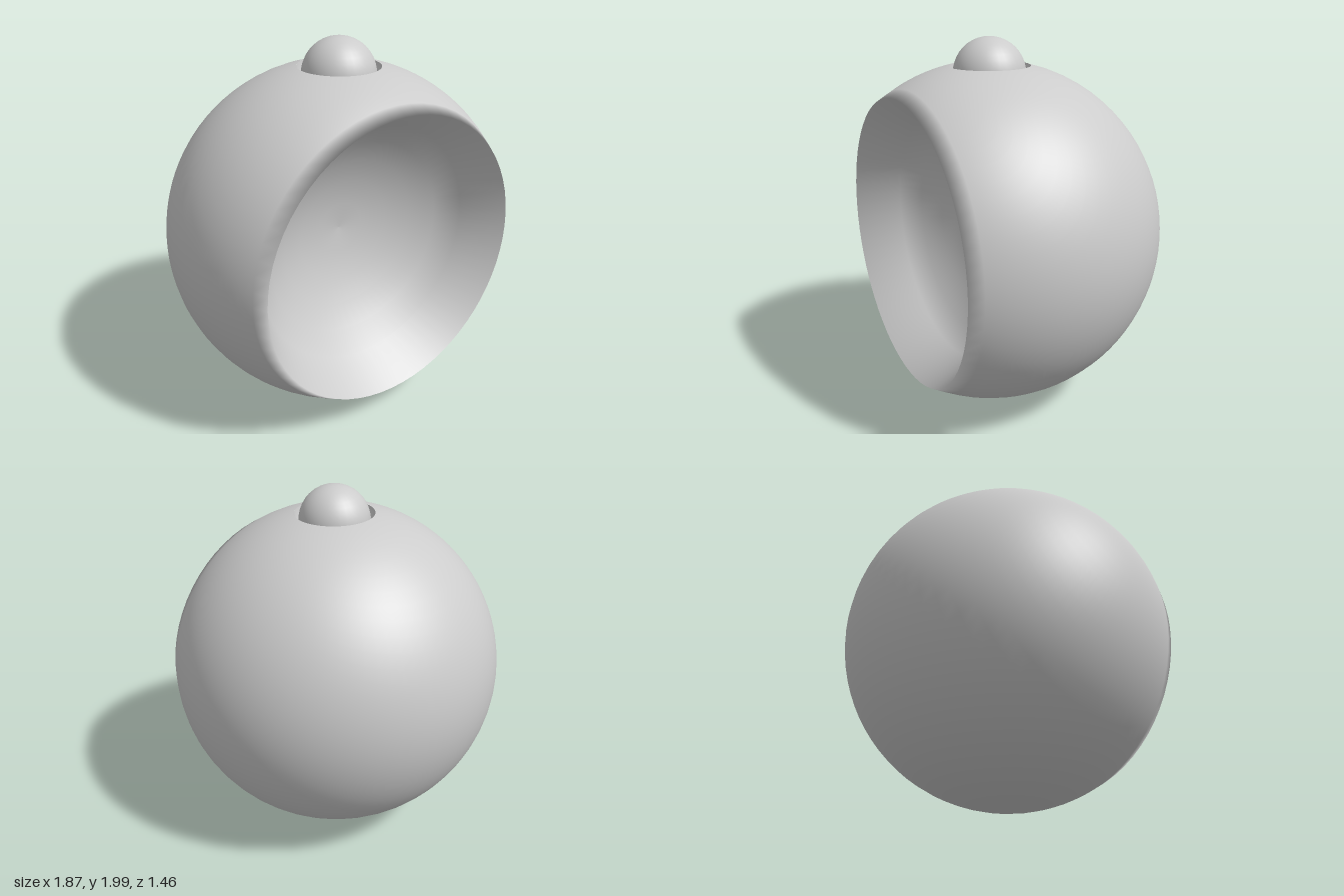
import * as THREE from 'three';
import { ParametricGeometry } from 'three/addons/geometries/ParametricGeometry.js';

const R = 0.935;                      // sphere radius
const HOLE_Y = 0.909;                 // plane of the round top hole
const CUT_Z = 0.46;                   // plane where the shell meets the front rim
const RIM_R = 0.775, RIM_Z = 0.53;    // foremost edge of the rim
const BACK_R = 0.66, BACK_Z = 0.29;   // ring where the bowl wall turns into its round back

export function createModel() {
  const model = new THREE.Group();
  const body = new THREE.Group();
  body.name = 'body';
  body.position.set(0, 0.94, 0.2);
  model.add(body);

  const material = new THREE.MeshStandardMaterial({ color: 0xcccccc });
  const add = (name, geometry) => {
    const mesh = new THREE.Mesh(geometry, material);
    mesh.name = name;
    body.add(mesh);
    return mesh;
  };

  // Sphere with two openings: its circles lie in planes that swing about the
  // line where the hole plane and the front plane meet.
  const sweep = (u, v, target) => {
    const t = u * Math.PI / 2, a = v * Math.PI * 2;
    const c = Math.cos(t), s = Math.sin(t);
    const d = c * HOLE_Y - s * CUT_Z;
    const r = Math.sqrt(R * R - d * d);
    const k = r * Math.sin(a);
    target.set(r * Math.cos(a), c * d - s * k, -s * d - c * k);
  };
  add('shell', new ParametricGeometry(sweep, 40, 64));

  // Soft front rim, steep bowl wall and round back of the bowl
  const profile = [
    new THREE.Vector2(Math.sqrt(R * R - CUT_Z * CUT_Z), CUT_Z),
    new THREE.Vector2(RIM_R, RIM_Z),
  ];
  const backAngle = Math.asin(BACK_R / R);
  for (let i = 0; i <= 5; i++) {
    const a = backAngle * (1 - i / 5);
    profile.push(new THREE.Vector2(R * Math.sin(a), BACK_Z + R * (Math.cos(backAngle) - Math.cos(a))));
  }
  add('frontBowl', new THREE.LatheGeometry(profile, 64).rotateX(Math.PI / 2));

  // Tapered well sunk into the top
  const holeR = Math.sqrt(R * R - HOLE_Y * HOLE_Y);
  const well = [[holeR, HOLE_Y], [0.195, 0.8], [0.1, 0.74]].map(([x, y]) => new THREE.Vector2(x, y));
  add('buttonWell', new THREE.LatheGeometry(well, 48));

  // Ball button sitting in the well
  add('button', new THREE.SphereGeometry(0.195, 32, 20)).position.y = 0.865;

  return model;
}
